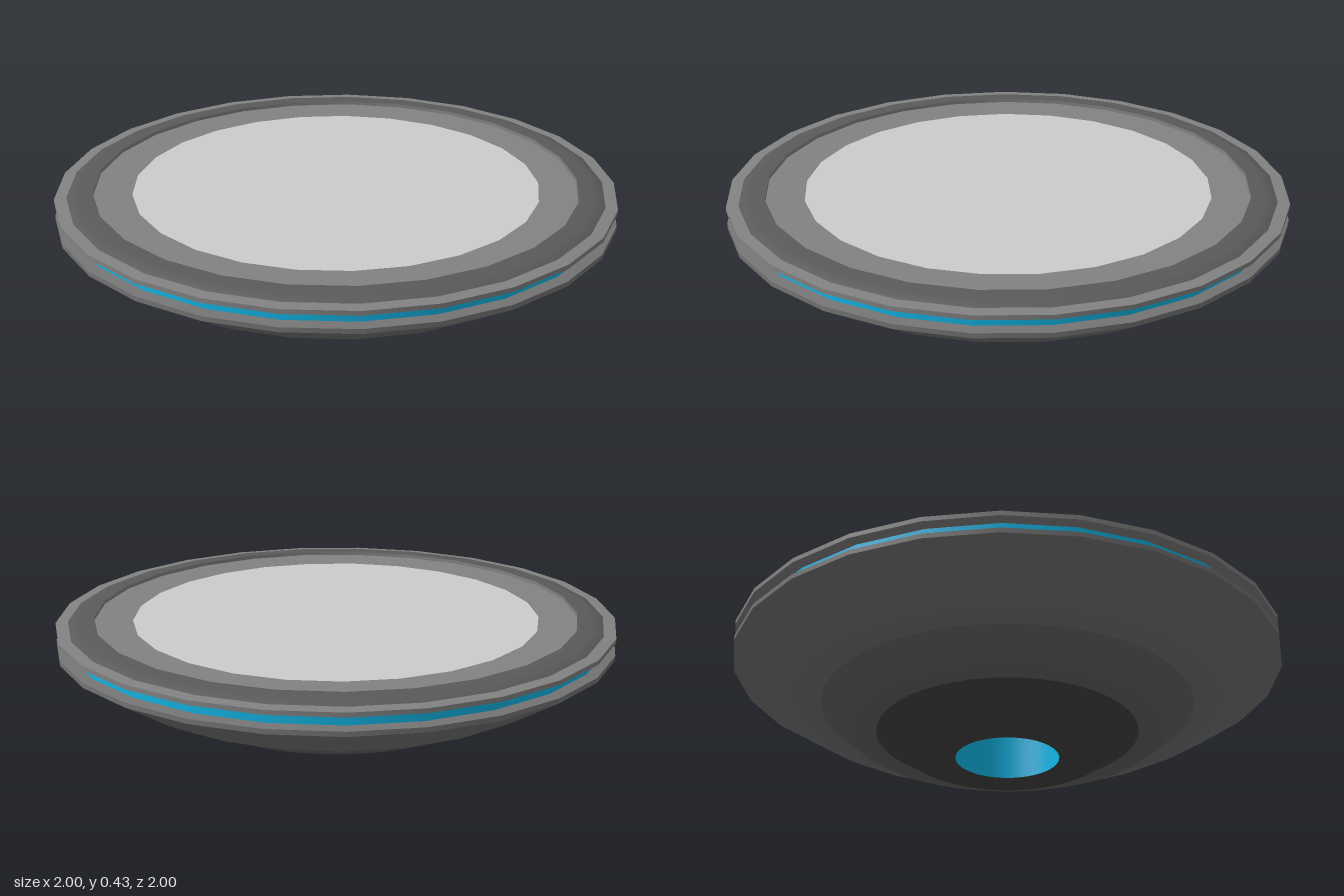
import * as THREE from 'three';
import { mergeGeometries } from 'three/addons/utils/BufferGeometryUtils.js';

const SIDES = 25;
const GREY = 0x828282, DARK = 0x5a5a5a, CYAN = 0x12b4e4;

// Turned part: each run of [radius, y] is smooth, edges between runs stay sharp.
function turned(name, color, sides, runs) {
  const lathes = runs.map((run) => new THREE.LatheGeometry(
    run.map(([r, y]) => new THREE.Vector2(r, y)), sides, Math.PI / 2));
  const material = new THREE.MeshStandardMaterial({ color, side: THREE.DoubleSide });
  const mesh = new THREE.Mesh(mergeGeometries(lathes), material);
  mesh.name = name;
  return mesh;
}

export function createModel() {
  const model = new THREE.Group();
  model.name = 'saucer';

  model.add(
    // Stepped underside, from the lowest tier up
    turned('lowerTier', 0x424242, 50, [
      [[0.187, 0], [0.29, 0]],
      [[0.29, 0], [0.33, 0.007], [0.37, 0.025], [0.43, 0.065], [0.475, 0.092]],
    ]),
    turned('middleTier', 0x646464, 50, [
      [[0.46, 0.092], [0.54, 0.092], [0.575, 0.1], [0.605, 0.125], [0.635, 0.155], [0.68, 0.187]],
    ]),
    turned('hull', 0x747474, SIDES, [
      [[0.66, 0.186], [0.74, 0.186], [0.785, 0.195], [0.83, 0.22], [1.004, 0.33]],
      [[1.004, 0.33], [1.004, 0.347]],
      [[1.004, 0.347], [0.95, 0.354]],
    ]),

    // Glowing band between the two flanges
    turned('lightBand', CYAN, SIDES, [[[0.965, 0.35], [0.965, 0.392]]]),

    // Upper flange with a raised dark ring
    turned('upperFlange', GREY, SIDES, [
      [[0.95, 0.386], [1.004, 0.392]],
      [[1.004, 0.392], [1.004, 0.408]],
      [[1.004, 0.408], [0.96, 0.411]],
    ]),
    turned('raisedRing', DARK, SIDES, [
      [[0.963, 0.41], [0.945, 0.418], [0.92, 0.424], [0.868, 0.425]],
    ]),

    // Deck slightly below the raised ring
    turned('deckRing', GREY, SIDES, [
      [[0.868, 0.425], [0.868, 0.412]],
      [[0.868, 0.412], [0.73, 0.41]],
    ]),
    turned('deckPlate', 0xcccccc, SIDES, [[[0.73, 0.41], [0, 0.41]]]),

    // Open well in the belly
    turned('bellyWell', CYAN, 50, [
      [[0.187, 0.36], [0.187, 0]],
      [[0, 0.36], [0.187, 0.36]],
    ]),
  );
  return model;
}
